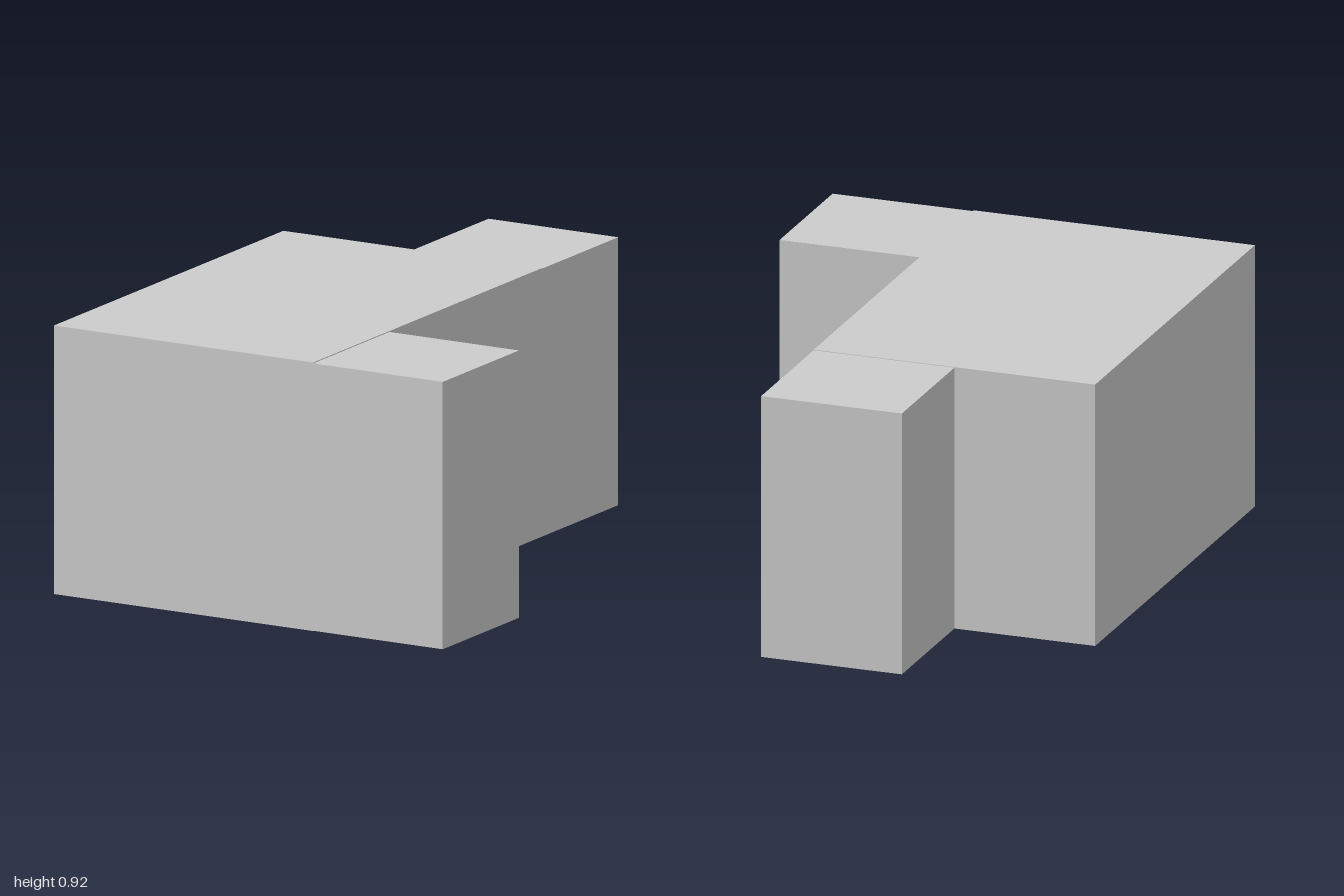
import * as THREE from 'three';

export function createModel() {
  const group = new THREE.Group();
  const material = new THREE.MeshStandardMaterial({ color: 0xcccccc, flatShading: true });

  // Box given by its lower and upper corners
  function block(name, [x0, y0, z0], [x1, y1, z1]) {
    const mesh = new THREE.Mesh(new THREE.BoxGeometry(x1 - x0, y1 - y0, z1 - z0), material);
    mesh.position.set((x0 + x1) / 2, (y0 + y1) / 2, (z0 + z1) / 2);
    mesh.name = name;
    group.add(mesh);
  }

  // Main volume, with two marginally lower wings
  block('mainBlock', [-0.75, 0, -0.505], [0.25, 0.92, 1]);
  block('sideWing', [0.25, 0.001, 0.5], [0.75, 0.917, 1]);
  block('backWing', [-0.25, 0, -1], [0.25, 0.918, -0.505]);

  return group;
}
